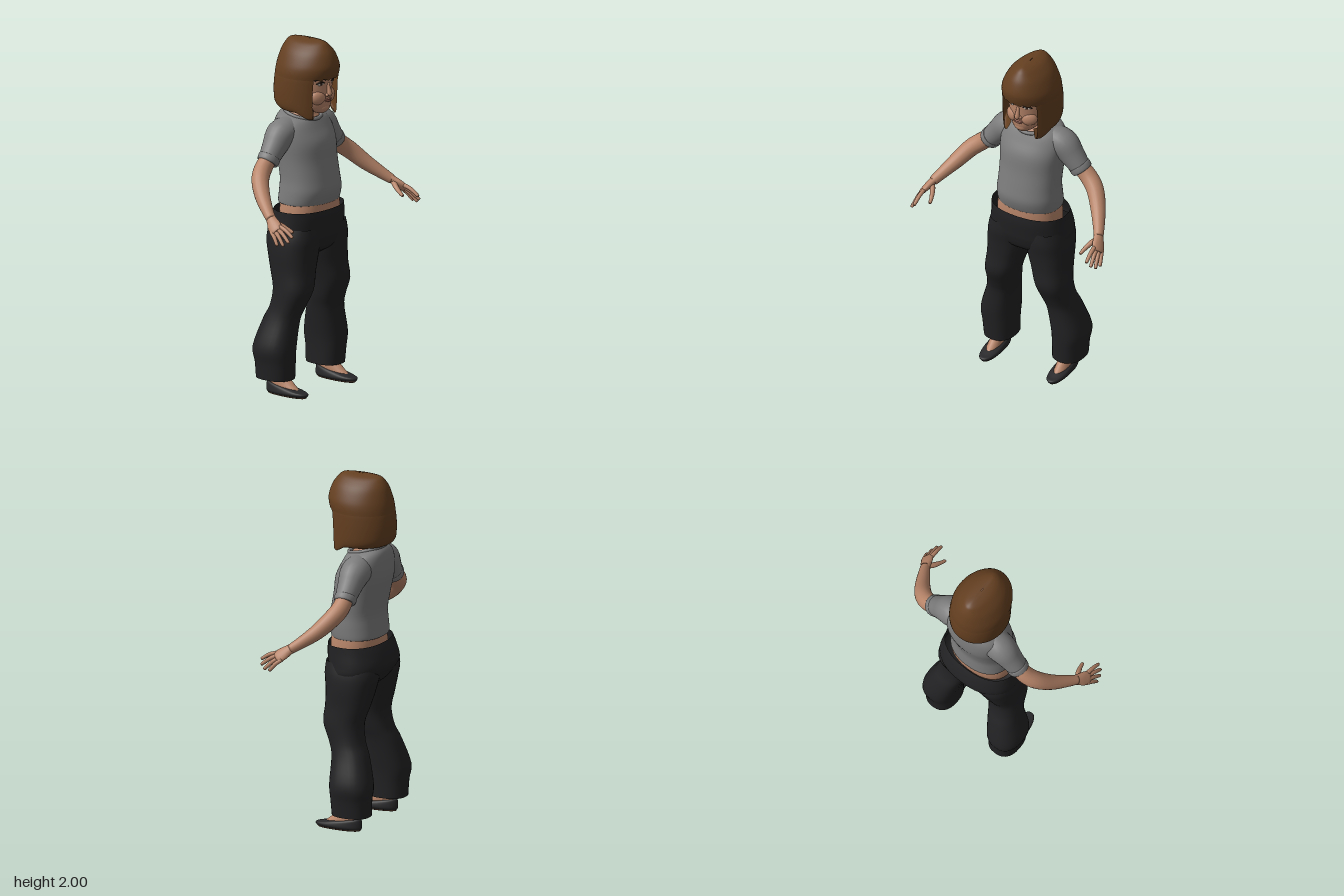
import * as THREE from 'three';

const mat = (name, color, side = THREE.FrontSide) => {
  const m = new THREE.MeshStandardMaterial({ color, side });
  m.name = name;
  return m;
};

// Catmull-Rom resampling of rows of numbers
function resample(rows, k = 4) {
  const out = [], n = rows.length;
  const at = (i) => rows[Math.min(n - 1, Math.max(0, i))];
  for (let i = 0; i < n - 1; i++) for (let s = 0; s < k; s++) {
    const t = s / k, [a, b, c, d] = [at(i - 1), at(i), at(i + 1), at(i + 2)];
    out.push(b.map((v, j) => 0.5 * (2 * v + (c[j] - a[j]) * t + (2 * a[j] - 5 * v + 4 * c[j] - d[j]) * t * t
      + (3 * v - a[j] - 3 * c[j] + d[j]) * t * t * t)));
  }
  out.push(rows[n - 1]);
  return out;
}

// Surface through a list of rings, each a list of points
function surface(rings, closed, caps) {
  if (caps) {
    const flat = (r) => {
      const c = r.reduce((s, p) => s.add(p), new THREE.Vector3()).divideScalar(r.length);
      return r.map(() => c);
    };
    rings = [flat(rings[0]), ...rings, flat(rings[rings.length - 1])];
  }
  const n = rings[0].length, index = [];
  for (let i = 0; i < rings.length - 1; i++) for (let j = 0; j < (closed ? n : n - 1); j++) {
    const a = i * n + j, b = i * n + (j + 1) % n;
    index.push(a, a + n, b, b, a + n, b + n);
  }
  const g = new THREE.BufferGeometry().setFromPoints(rings.flat());
  g.setIndex(index);
  g.computeVertexNormals();
  return g;
}

// Upright form; rows rise as [y, xMin, xMax, zFront, zBack, tilt]
function stack(rows, { n = 36, power = 2, caps = true, gap = 0, edit = null } = {}) {
  const pw = (v) => Math.sign(v) * Math.abs(v) ** (2 / power);
  const rings = resample(rows).map(([y, x0, x1, zf, zb, tilt]) => {
    const ring = [];
    for (let j = 0; j < (gap ? n + 1 : n); j++) {
      const a = Math.PI / 2 + gap + (j / n) * (2 * Math.PI - 2 * gap);
      const dz = pw(Math.sin(a)) * (zf - zb) / 2;
      const p = new THREE.Vector3((x0 + x1) / 2 + pw(Math.cos(a)) * (x1 - x0) / 2, y + tilt * dz, (zf + zb) / 2 + dz);
      if (edit) edit(p, a, y);
      ring.push(p);
    }
    return ring;
  });
  return surface(rings, !gap, caps);
}
const even = (rows) => rows.map(([y, rx, zf, zb, tilt = 0]) => [y, -rx, rx, zf, zb, tilt]);
const sided = (rows, s) => rows.map(([y, a, b, zf, zb, tilt = 0]) =>
  [y, Math.min(a * s, b * s), Math.max(a * s, b * s), zf, zb, tilt]);

// Limb along points [x, y, z, radius, thickness ratio]
function limb(points, s, n = 16, ref = [0, 0, 1]) {
  const rows = resample(points.map(([x, y, z, r, f = 1]) => [x * s, y, z, r, f]));
  const pos = rows.map((r) => new THREE.Vector3(r[0], r[1], r[2]));
  const R = new THREE.Vector3(ref[0] * s, ref[1], ref[2]);
  return surface(rows.map(([, , , r, f], i) => {
    const T = pos[Math.min(i + 1, pos.length - 1)].clone().sub(pos[Math.max(i - 1, 0)]).normalize();
    const V = R.clone().addScaledVector(T, -R.dot(T)).normalize();
    const U = T.clone().cross(V);
    return Array.from({ length: n }, (_, j) => {
      const a = j / n * 2 * Math.PI;
      return pos[i].clone().addScaledVector(U, Math.cos(a) * r * f).addScaledVector(V, Math.sin(a) * r);
    });
  }), true, true);
}

export function createModel() {
  const model = new THREE.Group();
  const skin = mat('skin', 0xb9866a), shirt = mat('greyShirt', 0x7c7c7c, THREE.DoubleSide);
  const hair = mat('brownHair', 0x643f20, THREE.DoubleSide), cloth = mat('blackTrousers', 0x222224, THREE.DoubleSide);
  const leather = mat('shoeLeather', 0x28282a), soleMat = mat('shoeSole', 0x6a4a36);
  const lip = mat('lips', 0x9c6252), white = mat('eyeWhite', 0xcfc6bd), dark = mat('lashes', 0x2b1c14);
  const add = (name, geometry, material) => {
    const m = new THREE.Mesh(geometry, material);
    m.name = name;
    model.add(m);
    return m;
  };
  const blob = (name, material, p, r, turn = 0) => {
    const m = add(name, new THREE.SphereGeometry(1, 20, 14), material);
    m.position.set(...p);
    m.scale.set(...r);
    m.rotation.y = turn;
  };
  const line = (name, points, r, material, closed = false) => add(name, new THREE.TubeGeometry(
    new THREE.CatmullRomCurve3(points.map((p) => new THREE.Vector3(...p)), closed), closed ? 48 : 12, r, 8, closed), material);

  // Head, neck and midriff
  add('head', stack(even([[1.588, .025, .045, -.02], [1.605, .06, .064, -.08], [1.64, .09, .074, -.15],
    [1.68, .108, .075, -.19], [1.73, .117, .076, -.21], [1.78, .12, .078, -.22], [1.84, .12, .082, -.22],
    [1.9, .1, .05, -.19], [1.94, .06, 0, -.14]])), skin);
  add('neck', stack(even([[1.48, .11, -.01, -.19], [1.555, .1, -.015, -.19, -.2], [1.585, .075, -.035, -.18, -.2],
    [1.62, .062, -.04, -.17], [1.7, .062, -.04, -.17]])), skin);
  add('midriff', stack(even([[.97, .19, .08, -.19], [1.04, .187, .085, -.195], [1.13, .172, .08, -.18]]), { power: 2.3 }), skin);

  // Face
  add('noseBridge', limb([[0, 1.765, .072, .008], [0, 1.735, .08, .011], [0, 1.705, .086, .015], [0, 1.696, .083, .01]], 1), skin);
  blob('upperLip', lip, [0, 1.671, .075], [.03, .005, .007]);
  blob('lowerLip', lip, [0, 1.662, .075], [.024, .006, .008]);
  blob('chin', skin, [0, 1.625, .055], [.036, .024, .018]);
  for (const s of [1, -1]) {
    blob('nostril', skin, [s * .014, 1.699, .078], [.01, .009, .011]);
    blob('cheek', skin, [s * .055, 1.685, .045], [.045, .04, .025], s * .5);
    blob('eyeWhite', white, [s * .052, 1.766, .062], [.022, .009, .006], s * .35);
    blob('iris', dark, [s * .051, 1.767, .066], [.009, .0085, .004], s * .35);
    line('lashes', [[s * .027, 1.768, .072], [s * .05, 1.778, .069], [s * .077, 1.766, .051]], .0035, dark);
    line('brow', [[s * .025, 1.788, .079], [s * .052, 1.796, .07], [s * .085, 1.786, .046]], .0035, dark);
  }

  // Hair: crown with jagged fringe, and a bob open at the face
  add('hairCrown', stack(even([[1.795, .16, .108, -.262], [1.83, .158, .118, -.258], [1.87, .147, .12, -.25],
    [1.93, .117, .1, -.232], [1.97, .08, .072, -.21], [1.99, .05, .05, -.19], [2, .015, .02, -.15], [2, .001, -.05, -.08]]), {
    n: 64, caps: false, edit: (p, a, y) => {
      if (y < 1.8 && Math.sin(a) > .6) p.y += (Math.round(a * 64 / (2 * Math.PI)) % 3) * .005 - .005;
    },
  }), hair);
  add('hairBob', stack(even([[1.635, .105, .055, -.15], [1.61, .13, .08, -.2], [1.605, .148, .09, -.228],
    [1.635, .16, .096, -.262], [1.7, .163, .1, -.27], [1.76, .162, .104, -.267], [1.8, .159, .108, -.261],
    [1.84, .15, .11, -.25]]), {
    n: 56, gap: .74, caps: false, edit: (p, a, y) => {
      const t = Math.min(1, Math.max(0, (Math.sin(a) - .2) / .4));
      if (y < 1.66) p.y -= .036 * t * Math.min(1, (1.66 - y) / .05);
    },
  }), hair);

  // Shirt
  add('shirtBody', stack(even([[1.1, .172, .07, -.185], [1.078, .183, .078, -.203], [1.09, .188, .088, -.208],
    [1.15, .186, .101, -.203], [1.22, .18, .091, -.2], [1.32, .182, .072, -.218], [1.42, .19, .058, -.238],
    [1.5, .188, .022, -.236, -.05], [1.55, .158, .002, -.225, -.15], [1.575, .105, -.008, -.203, -.22]]),
  { n: 48, power: 2.25, caps: false }), shirt);
  line('collar', Array.from({ length: 16 }, (_, i) => {
    const a = i / 8 * Math.PI, dz = Math.sin(a) * .1;
    return [.104 * Math.cos(a), 1.573 - .25 * dz, -.105 + dz];
  }), .011, shirt, true);

  // Hips and waistband
  add('trouserHips', stack(even([[.78, .06, .0, -.13], [.82, .19, .06, -.19], [.88, .238, .083, -.238], [.93, .24, .09, -.258],
    [1, .232, .096, -.238], [1.046, .228, .092, -.215]]), { n: 40, power: 2.3, caps: false }), cloth);

  for (const s of [1, -1]) {
    // Sleeve and cuff
    add('sleeve', limb([[.09, 1.485, -.115, .082], [.175, 1.473, -.118, .085], [.235, 1.415, -.117, .07],
      [.297, 1.343, -.115, .056]], s, 24), shirt);
    add('sleeveCuff', limb([[.277, 1.368, -.116, .058], [.281, 1.363, -.116, .063], [.297, 1.343, -.115, .061],
      [.301, 1.338, -.115, .055]], s, 24), shirt);

    // Arm, palm and fingers
    add('arm', limb([[.27, 1.375, -.116, .046], [.34, 1.313, -.113, .05], [.4, 1.262, -.085, .049], [.455, 1.195, -.025, .043],
      [.505, 1.135, .05, .033], [.534, 1.1, .1, .027]], s, 20), skin);
    const across = [.45, -.5, -.74];
    add('palm', limb([[.522, 1.115, .078, .026, .9], [.538, 1.095, .108, .031, .7], [.553, 1.075, .135, .039, .5],
      [.566, 1.057, .16, .038, .42], [.57, 1.05, .17, .03, .4]], s, 18, across), skin);
    const tips = [[.555, 1.03, .265], [.577, 1.005, .255], [.592, .986, .23], [.601, .984, .195]];
    tips.forEach((t, i) => {
      const k = (i - 1.5) * .019, b = [.563 + k * .45, 1.061 - k * .5, .153 - k * .74];
      const mid = b.map((v, j) => (v + t[j]) / 2 + (j === 1 ? .007 : 0));
      const end = t.map((v, j) => v + (t[j] - mid[j]) * .04);
      add('finger', limb([[...b, .012], [...mid, .0115], [...t, .009], [...end, .004]], s, 10), skin);
    });
    add('thumb', limb([[.533, 1.09, .11, .016], [.51, 1.072, .145, .015], [.495, 1.053, .18, .012],
      [.486, 1.036, .212, .009], [.485, 1.034, .217, .004]], s, 10), skin);

    // Trouser leg, flared at the hem
    add('trouserLeg', stack(sided([[.09, .13, .31, -.01, -.232], [.18, .13, .318, -.004, -.236], [.27, .125, .328, .001, -.246],
      [.42, .105, .283, .005, -.205], [.5, .085, .265, .03, -.17], [.6, .064, .257, .072, -.157], [.7, .034, .25, .068, -.185],
      [.8, .003, .25, .071, -.211], [.88, 0, .243, .08, -.228], [.95, .01, .225, .075, -.215]], s),
    { n: 28, power: 2.4, caps: false }), cloth);

    // Foot, shoe and sole
    add('foot', stack(sided([[.02, .18, .255, .06, -.16], [.055, .18, .256, .035, -.165, -.12], [.08, .18, .254, -.0, -.165, -.1],
      [.12, .182, .252, -.04, -.16], [.25, .18, .255, -.05, -.16]], s), { n: 24 }), skin);
    add('shoe', stack(sided([[.008, .172, .263, .095, -.176], [.02, .164, .271, .102, -.18], [.036, .166, .269, .094, -.18, -.06],
      [.048, .172, .264, .07, -.177, -.13], [.056, .182, .255, .035, -.17, -.14]], s), { n: 32, power: 2.2 }), leather);
    add('shoeSole', stack(sided([[0, .178, .257, .088, -.17], [.009, .172, .263, .095, -.176]], s), { n: 32, power: 2.2 }), soleMat);
  }
  return model;
}
